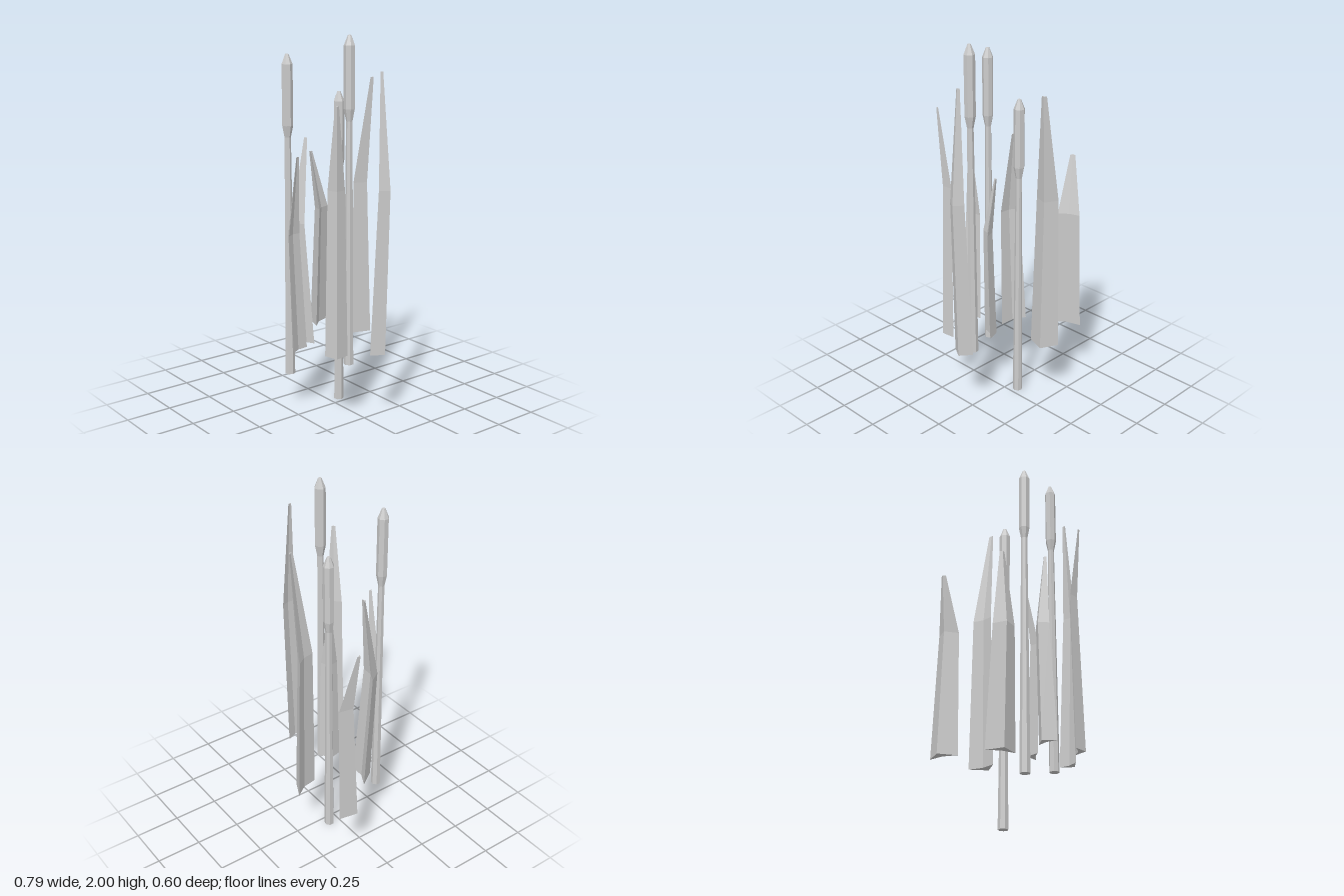
import * as THREE from 'three';

const material = new THREE.MeshStandardMaterial({ color: 0xcccccc, flatShading: true });

// Seven-sided stalk with a thicker seed head, 1.7 tall
function createReed(x, y, z, turn) {
  const profile = [
    [0, 0], [0.027, 0], [0.017, 1.28], [0.029, 1.34], [0.029, 1.65], [0.009, 1.7], [0, 1.7],
  ].map(([r, h]) => new THREE.Vector2(r, h));
  const reed = new THREE.Mesh(new THREE.LatheGeometry(profile, 7), material);
  reed.position.set(x, y, z);
  reed.rotation.y = turn;
  reed.name = 'reed';
  return reed;
}

// Folded blade: an arrowhead section at the base, the bend and the tip.
// a and b are the base edges [x, z]; bow and tipShift move the sections towards the fold.
function createLeaf({ a, b, y, bow, tipShift }) {
  const dx = (b[0] - a[0]) / 2, dz = (b[1] - a[1]) / 2;
  const half = Math.hypot(dx, dz);
  const midX = (a[0] + b[0]) / 2, midZ = (a[1] + b[1]) / 2;

  // Section corners: edge, outer fold, other edge, inner fold
  const section = (height, scale, shift) =>
    [[-1, 0], [0, 0.88], [1, 0], [0, 0.22]].map(([along, out]) => {
      const s = along * scale, o = out * scale + shift / half;
      return [midX + dx * s - dz * o, height, midZ + dz * s + dx * o];
    });
  const rings = [
    section(y[0], 1, 0),
    section(y[1], 0.75, bow),
    section(y[2], 0.17, tipShift),
  ];

  const points = [];
  const triangle = (...corners) => corners.forEach((c) => points.push(...c));
  for (let r = 0; r < 2; r++) {
    for (let i = 0; i < 4; i++) {
      const j = (i + 1) % 4, lower = rings[r], upper = rings[r + 1];
      triangle(lower[i], lower[j], upper[j]);
      triangle(lower[i], upper[j], upper[i]);
    }
  }
  // End caps
  const [base, , tip] = rings;
  triangle(base[0], base[3], base[1]);
  triangle(base[1], base[3], base[2]);
  triangle(tip[0], tip[1], tip[3]);
  triangle(tip[1], tip[2], tip[3]);

  const geometry = new THREE.BufferGeometry();
  geometry.setAttribute('position', new THREE.Float32BufferAttribute(points, 3));
  geometry.computeVertexNormals();
  const leaf = new THREE.Mesh(geometry, material);
  leaf.name = 'leaf';
  return leaf;
}

export function createModel() {
  const model = new THREE.Group();
  model.name = 'reedClump';

  // Three reeds at staggered heights
  model.add(
    createReed(-0.045, 0, -0.06, Math.PI / 2),
    createReed(0.185, 0.3, 0.055, -Math.PI / 2),
    createReed(-0.105, 0.2, 0.225, Math.PI / 2),
  );

  // Leaves bending back over their fold
  const leaves = [
    { a: [-0.37, -0.23], b: [-0.29, -0.093], y: [0.345, 1.02, 1.335], bow: -0.013, tipShift: 0.06 },
    { a: [-0.045, -0.158], b: [-0.105, -0.303], y: [0.36, 1.2, 1.765], bow: -0.009, tipShift: 0.066 },
    { a: [0.118, -0.01], b: [0.062, 0.09], y: [0.37, 0.98, 1.28], bow: -0.008, tipShift: 0.045 },
    { a: [0.2, 0.222], b: [0.265, 0.127], y: [0.385, 1.25, 1.67], bow: -0.01, tipShift: 0.042 },
    // Leaves bowing out along their fold
    { a: [0.335, 0.035], b: [0.315, -0.08], y: [0.385, 1.25, 1.83], bow: 0.035, tipShift: 0.01 },
    { a: [-0.222, 0.048], b: [-0.07, 0.088], y: [0.345, 1.01, 1.46], bow: 0.045, tipShift: 0.008 },
    { a: [0, 0.19], b: [0.033, 0.3], y: [0.37, 0.99, 1.395], bow: 0.033, tipShift: 0.006 },
  ];
  leaves.forEach((leaf) => model.add(createLeaf(leaf)));
  return model;
}
